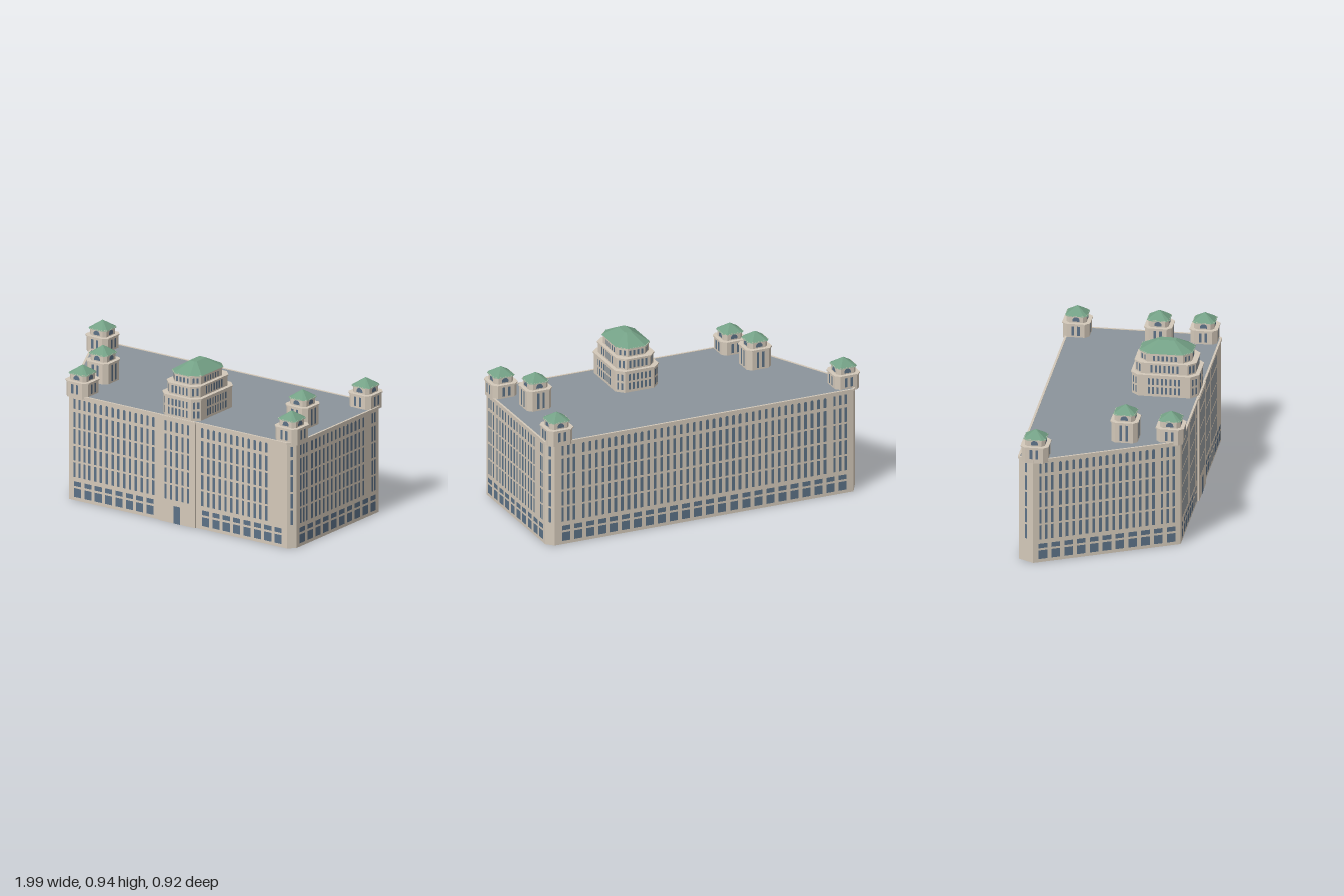
import * as THREE from 'three';
import { mergeGeometries } from 'three/addons/utils/BufferGeometryUtils.js';
import { ConvexGeometry } from 'three/addons/geometries/ConvexGeometry.js';

const stone = new THREE.MeshStandardMaterial({ color: 0xd3c8b9, side: THREE.DoubleSide });
const glass = new THREE.MeshStandardMaterial({ color: 0x5c7186 });
const slate = new THREE.MeshStandardMaterial({ color: 0x8b949b, side: THREE.DoubleSide });
const copper = new THREE.MeshStandardMaterial({ color: 0x74a186, flatShading: true });

const WALL = 0.63;
// window rows [bottom, top] above the ground floor, then ground floor rows
const ROWS = [[0.14, 0.228], [0.24, 0.326], [0.34, 0.428], [0.44, 0.53], [0.55, 0.61]];
const GROUND = [[0.02, 0.073], [0.086, 0.114]];

const spread = (a, b, n) => Array.from({ length: n }, (_, i) => (n === 1 ? a : a + (b - a) * i / (n - 1)));

function add(parent, name, geometry, material) {
  const mesh = new THREE.Mesh(geometry, material);
  mesh.name = name;
  parent.add(mesh);
  return mesh;
}

// flat window pane, optionally with a round head
function pane(x, y0, y1, w, arched = false) {
  const r = w / 2, s = new THREE.Shape();
  s.moveTo(x - r, y0);
  s.lineTo(x + r, y0);
  if (arched) {
    s.lineTo(x + r, y1 - r);
    s.absarc(x, y1 - r, r, 0, Math.PI, false);
  } else {
    s.lineTo(x + r, y1);
    s.lineTo(x - r, y1);
  }
  s.closePath();
  return new THREE.ShapeGeometry(s, 5);
}

const grid = (xs, rows, w) => xs.flatMap(x => rows.map(([a, b]) => pane(x, a, b, w)));

// columns running the full height, with round heads on the top floor
const archedColumns = (xs, w) => xs.flatMap(x => ROWS.map(([a, b], i) => pane(x, a, b, w, i === 4)));

// stand an object on the plan edge a-b: local x along the edge, local z outward
function onEdge(object, [ax, az], [bx, bz]) {
  object.position.set((ax + bx) / 2, 0, (az + bz) / 2);
  object.rotation.y = Math.atan2(az - bz, bx - ax);
  return object;
}

function addWindows(parent, a, b, panes, offset = 0.0015) {
  const g = mergeGeometries(panes);
  g.translate(0, 0, offset);
  onEdge(add(parent, 'windows', g, glass), a, b);
}

function planShape(points) {
  return new THREE.Shape(points.map(([x, z]) => new THREE.Vector2(x, -z)));
}

function slab(points, y0, y1) {
  return new THREE.ExtrudeGeometry(planShape(points), { depth: y1 - y0, bevelEnabled: false })
    .rotateX(-Math.PI / 2).translate(0, y0, 0);
}

// rectangle with cut corners; even edges are the main sides, odd ones the corners
function octagon(hx, hz, c) {
  return [[c - hx, hz], [hx - c, hz], [hx, hz - c], [hx, c - hz],
    [hx - c, -hz], [c - hx, -hz], [-hx, c - hz], [-hx, hz - c]];
}

// one storey block with a projecting cap; windowsFor(edgeIndex) gives its panes
function tier(parent, name, hx, hz, c, y0, y1, windowsFor) {
  const pts = octagon(hx, hz, c);
  add(parent, name, slab(pts, y0, y1), stone);
  add(parent, name + 'Cap', slab(octagon(hx + 0.005, hz + 0.005, c + 0.002), y1 - 0.006, y1 + 0.001), stone);
  pts.forEach((p, i) => {
    const panes = windowsFor(i);
    if (panes.length) addWindows(parent, p, pts[(i + 1) % 8], panes);
  });
}

function hipRoof(parent, hx, hz, c, y0, y1, rx, rz) {
  const v = octagon(hx, hz, c).map(([x, z]) => new THREE.Vector3(x, y0, z));
  const top = rx ? octagon(rx, rz, rx * 0.4) : [[0, 0]];
  top.forEach(([x, z]) => v.push(new THREE.Vector3(x, y1, z)));
  add(parent, 'copperRoof', new ConvexGeometry(v), copper);
}

function smallTower(x, z, base, top) {
  const t = new THREE.Group();
  t.name = 'cornerTower';
  t.position.set(x, 0, z);
  tier(t, 'towerBase', 0.076, 0.076, 0.024, base, top, i =>
    i % 2 ? [] : grid([-0.017, 0.017], [[0.645, top - 0.015]], 0.015));
  tier(t, 'towerLantern', 0.058, 0.058, 0.018, top, top + 0.042, i =>
    i % 2 ? [] : [pane(0, top + 0.008, top + 0.035, 0.042, true)]);
  hipRoof(t, 0.066, 0.066, 0.02, top + 0.04, top + 0.086);
  return t;
}

function mainTower() {
  const t = new THREE.Group();
  t.name = 'mainTower';
  t.position.set(0.175, 0, 0.248);
  const columns = (i, n, w, rows) => {
    const count = i % 2 ? 2 : i % 4 ? n + 2 : n;
    const half = (count - 1) * 0.0125;
    return grid(spread(-half, half, count), rows, w);
  };
  tier(t, 'lowerStage', 0.133, 0.192, 0.042, 0.625, 0.765, i =>
    columns(i, 6, 0.012, [[0.65, 0.692], [0.705, 0.745]]));
  tier(t, 'middleStage', 0.115, 0.174, 0.042, 0.76, 0.832, i => columns(i, 5, 0.012, [[0.775, 0.82]]));
  tier(t, 'upperStage', 0.098, 0.148, 0.045, 0.83, 0.886, i => columns(i, 4, 0.012, [[0.84, 0.87]]));
  hipRoof(t, 0.106, 0.156, 0.05, 0.885, 0.94, 0.023, 0.05);
  return t;
}

export function createModel() {
  const model = new THREE.Group();
  model.name = 'cityHallBuilding';

  // plan outline, running front, right, back, slanted left
  const plan = [[-0.59, 0.44], [0.94, 0.44], [0.98, 0.4], [0.98, -0.4],
    [0.94, -0.44], [-0.94, -0.44], [-0.99, -0.35]];
  const both = xs => [...xs, ...xs.map(x => -x)];
  const corner = grid([0], ROWS, 0.013);
  const panes = [
    // front
    [...archedColumns(both(spread(0.172, 0.622, 12)), 0.017),
      ...grid([-0.725, -0.691, -0.657], ROWS, 0.014),
      ...grid(both(spread(0.195, 0.705, 8)), GROUND, 0.05)],
    corner,
    // right side
    [...archedColumns(spread(-0.251, 0.251, 14), 0.016),
      ...grid([-0.361, -0.332, -0.303, 0.337, 0.361], ROWS, 0.014),
      ...grid(spread(-0.346, 0.346, 10), GROUND, 0.052)],
    corner,
    // back
    [...archedColumns(spread(-0.76, 0.76, 38), 0.017),
      ...grid(both([0.82, 0.855, 0.89]), ROWS, 0.014),
      ...grid(spread(-0.87, 0.87, 24), GROUND, 0.05)],
    corner,
    // slanted left side
    [...archedColumns(spread(-0.28, 0.28, 15), 0.017),
      ...grid(both([0.33, 0.365, 0.4]), ROWS, 0.014),
      ...grid(spread(-0.385, 0.385, 11), GROUND, 0.052)],
  ];

  // walls open underneath, each with a cornice
  plan.forEach((a, i) => {
    const b = plan[(i + 1) % plan.length];
    const length = Math.hypot(b[0] - a[0], b[1] - a[1]);
    const wall = new THREE.PlaneGeometry(length, WALL).translate(0, WALL / 2, 0);
    onEdge(add(model, 'wall', wall, stone), a, b);
    const cornice = new THREE.BoxGeometry(length + 0.004, 0.013, 0.012).translate(0, WALL, 0);
    onEdge(add(model, 'cornice', cornice, stone), a, b);
    addWindows(model, a, b, panes[i]);
  });

  const roof = new THREE.ShapeGeometry(planShape(plan)).rotateX(-Math.PI / 2).translate(0, 0.634, 0);
  add(model, 'flatRoof', roof, slate);

  // projecting entrance bay under the main tower
  add(model, 'entranceBay', new THREE.BoxGeometry(0.256, 0.635, 0.01).translate(0.175, 0.3175, 0.445), stone);
  addWindows(model, [0.047, 0.45], [0.303, 0.45], grid(spread(-0.08, 0.08, 5), ROWS, 0.015));
  add(model, 'door', new THREE.PlaneGeometry(0.045, 0.105).translate(0.175, 0.0525, 0.4515), glass);

  model.add(mainTower());
  [[-0.54, 0.378], [0.912, 0.352], [0.902, -0.382], [-0.919, -0.345]]
    .forEach(([x, z]) => model.add(smallTower(x, z, 0.62, 0.716)));
  [[-0.58, 0.122], [0.81, 0.105]]
    .forEach(([x, z]) => model.add(smallTower(x, z, 0.63, 0.757)));
  return model;
}
